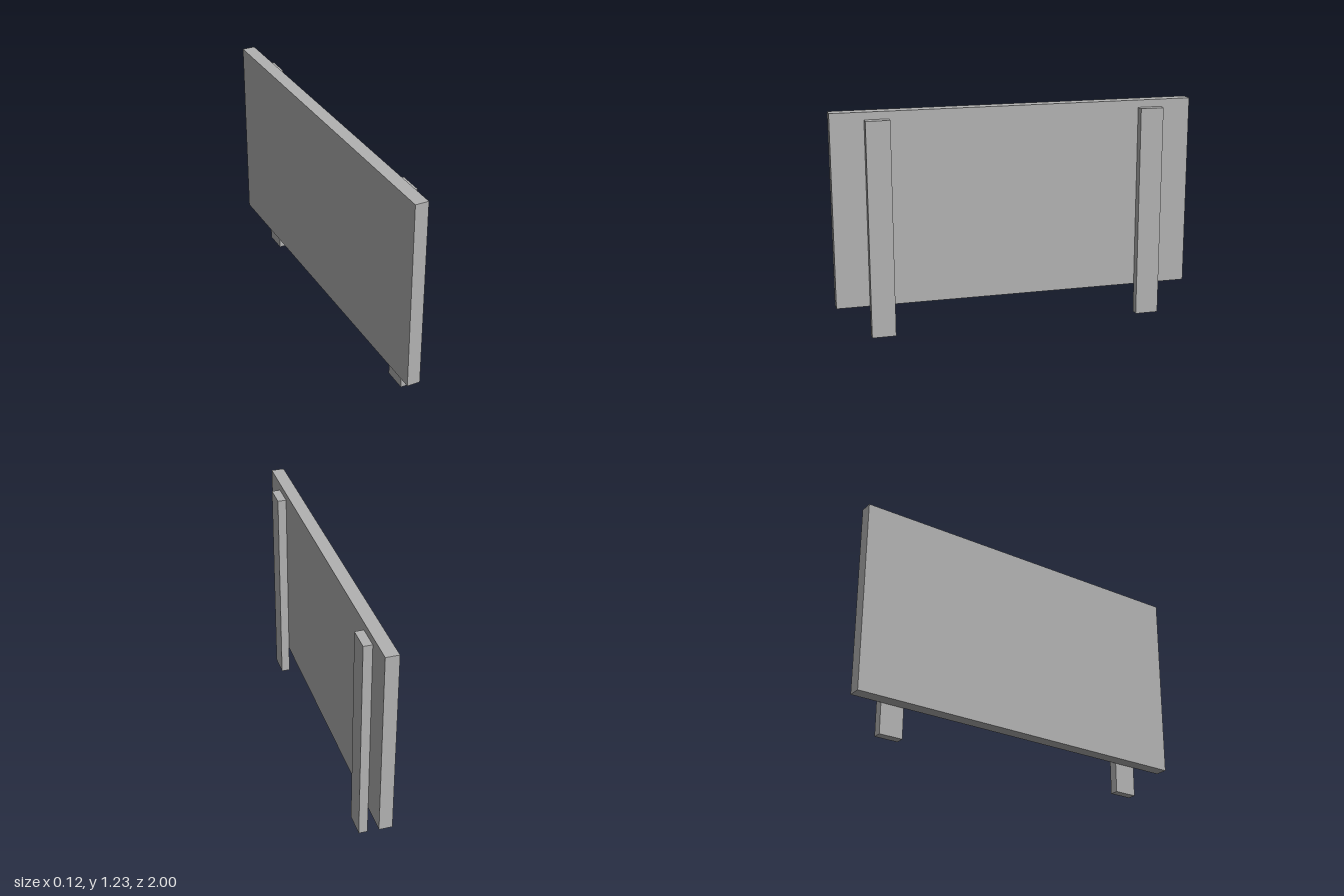
import * as THREE from 'three';

export function createModel() {
  const model = new THREE.Group();
  model.name = 'panelOnPosts';
  const grey = new THREE.MeshStandardMaterial({ color: 0xb2b2b2 });
  grey.name = 'grey';

  // Box given by its lower and upper corners
  const addBox = (name, [x0, y0, z0], [x1, y1, z1]) => {
    const mesh = new THREE.Mesh(new THREE.BoxGeometry(x1 - x0, y1 - y0, z1 - z0), grey);
    mesh.position.set((x0 + x1) / 2, (y0 + y1) / 2, (z0 + z1) / 2);
    mesh.name = name;
    model.add(mesh);
  };

  // Upright board
  addBox('panel', [-0.061, 0.167, -1], [0.011, 1.228, 1]);

  // Two posts fixed to one face of the board
  addBox('frontPost', [0.011, 0, 0.688], [0.059, 1.187, 0.819]);
  addBox('backPost', [0.011, 0, -0.83], [0.059, 1.187, -0.699]);

  return model;
}
